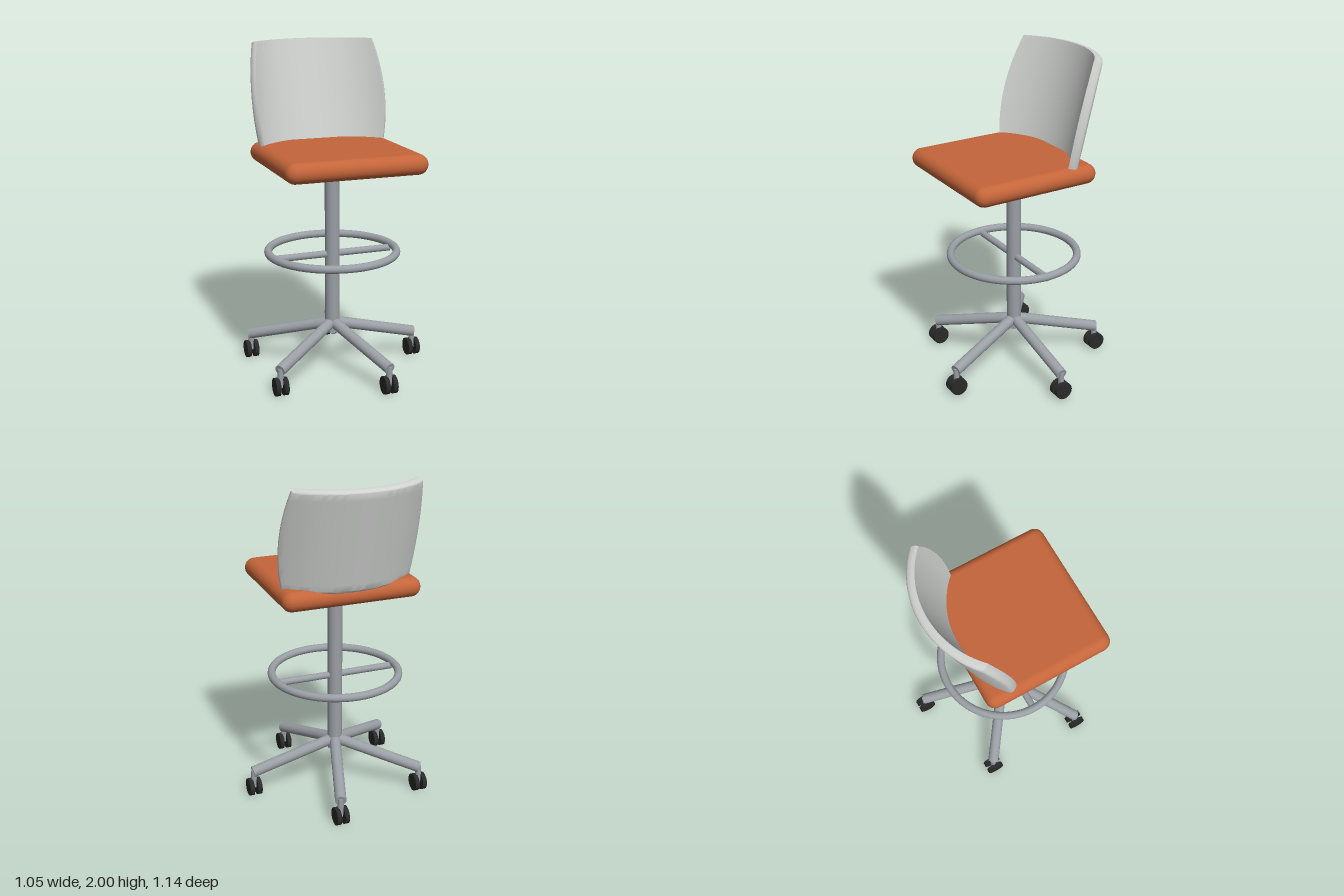
import * as THREE from 'three';
import { toCreasedNormals } from 'three/addons/utils/BufferGeometryUtils.js';
import { RoundedBoxGeometry } from 'three/addons/geometries/RoundedBoxGeometry.js';

const AXIS_X = -0.053; // column axis

function material(name, color) {
  const m = new THREE.MeshStandardMaterial({ color });
  m.name = name;
  return m;
}

function addMesh(parent, name, geometry, mat, x = 0, y = 0, z = 0) {
  const mesh = new THREE.Mesh(geometry, mat);
  mesh.name = name;
  mesh.position.set(x, y, z);
  parent.add(mesh);
  return mesh;
}

// Straight round bar between two points
function addRod(parent, name, a, b, radius, mat) {
  const dir = b.clone().sub(a);
  const mesh = addMesh(parent, name, new THREE.CylinderGeometry(radius, radius, dir.length(), 24), mat);
  mesh.position.copy(a).add(b).multiplyScalar(0.5);
  mesh.quaternion.setFromUnitVectors(new THREE.Vector3(0, 1, 0), dir.normalize());
  return mesh;
}

// Box bent round an arc, barrel shaped, leaning back, with rear edges rounded
function backrestGeometry() {
  const bottom = 1.365, top = 2, thick = 0.05, inner = 0.53, round = 0.025;
  const g = new THREE.BoxGeometry(2, 1, 1, 32, 16, 8);
  const p = g.attributes.position;
  for (let i = 0; i < p.count; i++) {
    const u = p.getX(i), v = p.getY(i) + 0.5;
    const s = Math.sin((0.5 - p.getZ(i)) * Math.PI / 2); // 0 at the front, 1 at the rear
    const inset = round * (1 - Math.sqrt(Math.max(0, 1 - s * s)));
    const y = bottom + v * (top - bottom) + (0.5 - v) * 2 * inset;
    const bulge = 1 - (2 * v - 1) ** 2;
    const half = 0.79 - 0.025 * v + 0.085 * bulge - inset / inner;
    const r = inner + thick * s, a = u * half;
    p.setXYZ(i, r * Math.sin(a), y, -0.295 + inner - r * Math.cos(a) - 0.255 * (y - 1.4));
  }
  return toCreasedNormals(g, 0.6);
}

export function createModel() {
  const model = new THREE.Group();
  model.name = 'swivelStool';
  const metal = material('grey metal', 0x9a9fa5);
  const orange = material('orange upholstery', 0xc4653a);
  const shell = material('pale grey shell', 0xd0d2d0);
  const black = material('black rubber', 0x2a2a2a);

  const chair = new THREE.Group();
  chair.name = 'chair';
  chair.position.x = AXIS_X;
  model.add(chair);

  // Seat and back
  addMesh(chair, 'seat', new RoundedBoxGeometry(0.856, 0.12, 0.8, 6, 0.0595), orange, 0, 1.34, 0.08);
  addMesh(chair, 'backrest', backrestGeometry(), shell);

  // Column and foot ring
  addMesh(chair, 'column', new THREE.CylinderGeometry(0.045, 0.045, 1.07, 32), metal, 0, 0.765, 0);
  const ring = addMesh(chair, 'footRing', new THREE.TorusGeometry(0.391, 0.024, 16, 72), metal, 0, 0.75, 0);
  ring.rotation.x = Math.PI / 2;
  addRod(chair, 'footRingBar', new THREE.Vector3(-0.378, 0.732, 0), new THREE.Vector3(0.378, 0.732, 0), 0.021, metal);

  // Five legs with twin-wheel casters, all wheels facing the same way
  const wheel = new THREE.CylinderGeometry(0.054, 0.054, 0.027, 32).rotateZ(Math.PI / 2);
  const axle = new THREE.CylinderGeometry(0.012, 0.012, 0.05, 12).rotateZ(Math.PI / 2);
  for (let i = 0; i < 5; i++) {
    const a = i * Math.PI * 2 / 5;
    const at = (r, y) => new THREE.Vector3(r * Math.cos(a), y, r * Math.sin(a));
    addRod(chair, 'leg', at(0, 0.293), at(0.545, 0.155), 0.034, metal);

    const caster = new THREE.Group();
    caster.name = 'caster';
    caster.position.copy(at(0.54, 0.054));
    chair.add(caster);
    addMesh(caster, 'casterStem', new THREE.CylinderGeometry(0.018, 0.018, 0.1, 16), metal, 0, 0.062, 0);
    addMesh(caster, 'axle', axle, metal);
    for (const side of [-1, 1]) addMesh(caster, 'wheel', wheel, black, side * 0.0245, 0, 0);
  }
  return model;
}
